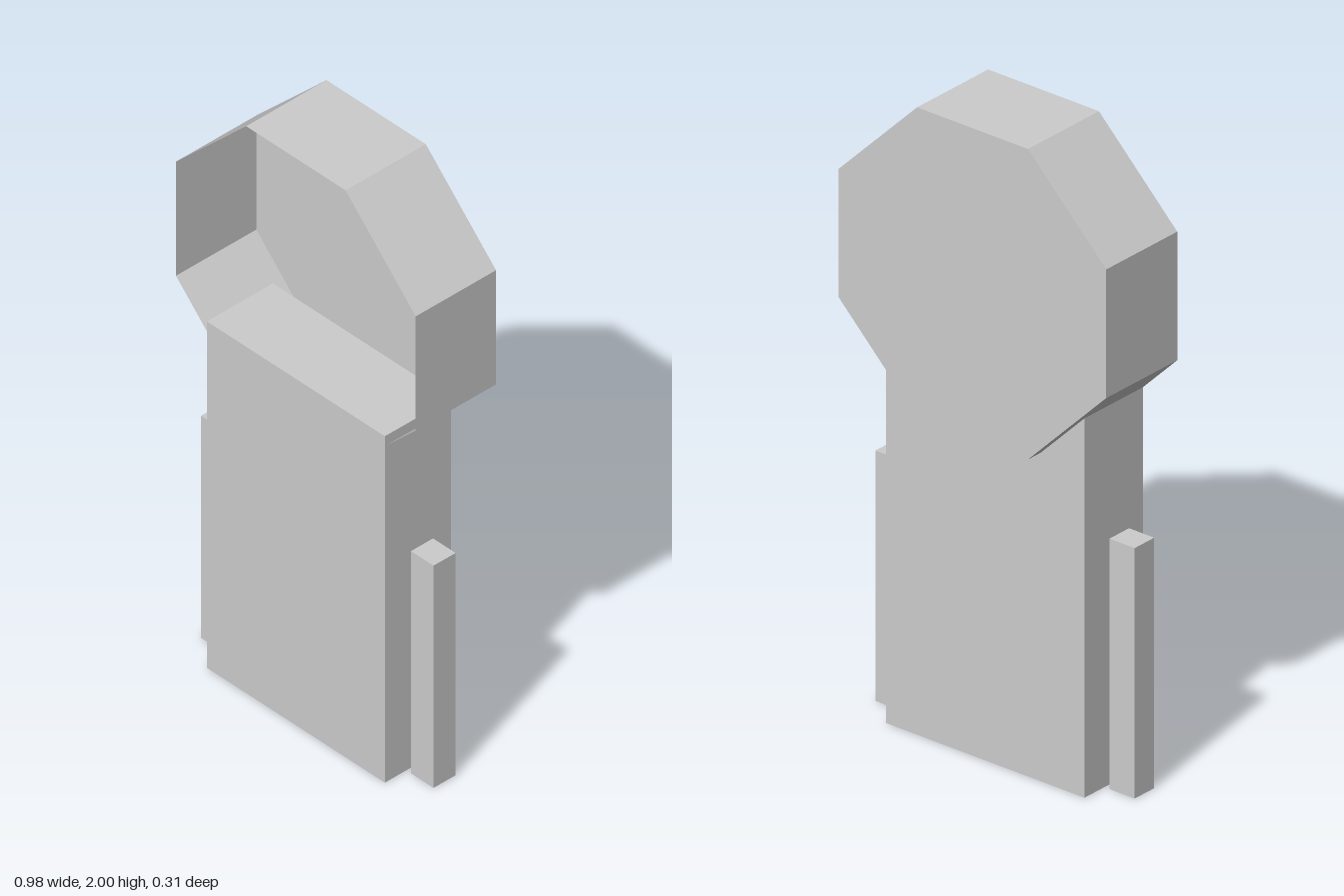
import * as THREE from 'three';

const solid = new THREE.MeshStandardMaterial({ color: 0xcccccc, flatShading: true });
const thin = new THREE.MeshStandardMaterial({ color: 0xcccccc, flatShading: true, side: THREE.DoubleSide });

function add(parent, name, geometry, material, x = 0, y = 0, z = 0) {
  const mesh = new THREE.Mesh(geometry, material);
  mesh.name = name;
  mesh.position.set(x, y, z);
  parent.add(mesh);
  return mesh;
}

export function createModel() {
  const model = new THREE.Group();
  model.name = 'model';

  const zFront = 0.157, zBack = -0.152;

  // Body slab and the two side posts
  add(model, 'body', new THREE.BoxGeometry(0.726, 1.222, 0.254), solid, 0, 0.611, 0.03);
  for (const side of [-1, 1]) {
    add(model, side > 0 ? 'leftPost' : 'rightPost',
      new THREE.BoxGeometry(0.092, 0.784, 0.085), solid, side * 0.428, 0.392, 0.032);
  }

  // Octagonal head: a thin-walled dish, open to the front
  const head = new THREE.Group();
  head.name = 'head';
  head.position.y = 1.514;
  model.add(head);

  const radius = 0.489 / Math.cos(Math.PI / 8);
  const rim = new THREE.CylinderGeometry(radius, radius, zFront - zBack, 8, 1, true, Math.PI / 8);
  rim.rotateX(Math.PI / 2).scale(1, 0.994, 1);
  add(head, 'headRim', rim, thin, 0, 0, (zFront + zBack) / 2);

  const back = new THREE.CircleGeometry(radius, 8, Math.PI / 8);
  back.scale(1, 0.994, 1);
  add(head, 'headBack', back, thin, 0, 0, zBack);

  // Narrow pointer lying on the back of the head
  const pointer = new THREE.Shape([
    new THREE.Vector2(-0.073, 0.376),
    new THREE.Vector2(0.01, -0.083),
    new THREE.Vector2(-0.02, -0.02),
  ]);
  add(head, 'pointer', new THREE.ShapeGeometry(pointer), thin, 0, 0, zBack - 0.001);

  return model;
}
